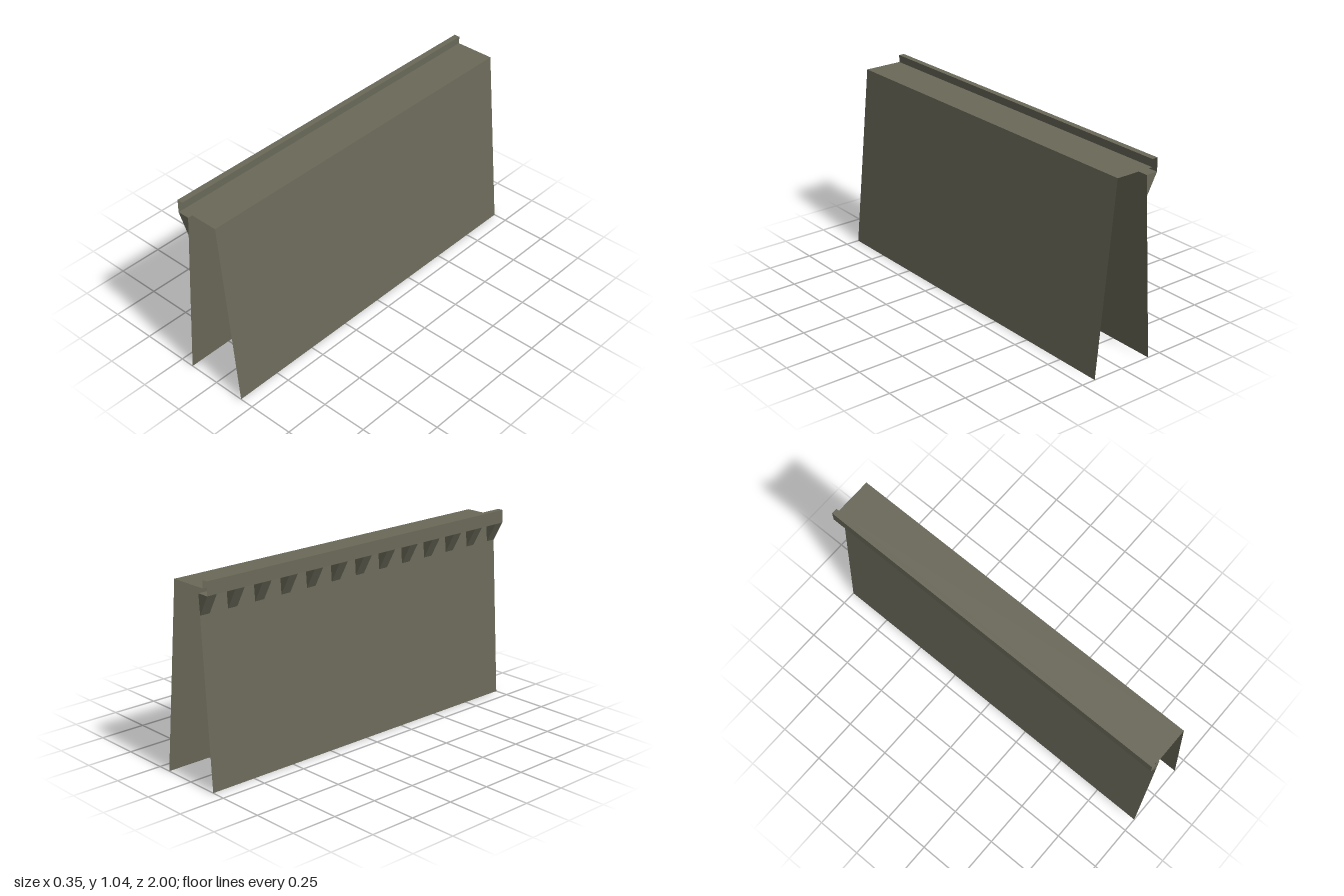
import * as THREE from 'three';

const LENGTH = 2;

// Flat strip running the full length between two profile points
function strip(name, [x0, y0], [x1, y1], material) {
  const h = LENGTH / 2;
  const geometry = new THREE.BufferGeometry();
  geometry.setAttribute('position', new THREE.Float32BufferAttribute(
    [x0, y0, h, x0, y0, -h, x1, y1, -h, x1, y1, h], 3));
  geometry.setIndex([0, 1, 2, 0, 2, 3]);
  geometry.computeVertexNormals();
  const mesh = new THREE.Mesh(geometry, material);
  mesh.name = name;
  return mesh;
}

export function createModel() {
  const group = new THREE.Group();
  group.name = 'barrier';
  const olive = new THREE.MeshStandardMaterial({ color: 0x6a6959, side: THREE.DoubleSide });
  olive.name = 'olive grey';

  // Folded sheet, open at the ends and underneath; profile runs from right foot to left foot
  const profile = [
    [0.174, 0], [0.072, 1], [-0.142, 1], [-0.142, 1.04],
    [-0.174, 1.04], [-0.174, 0.97], [-0.109, 0.97], [-0.174, 0],
  ];
  const names = ['rightWall', 'topDeck', 'curbInner', 'curbTop', 'curbOuter', 'curbLedge', 'leftWall'];
  names.forEach((name, i) => group.add(strip(name, profile[i], profile[i + 1], olive)));

  // Row of wedge brackets under the curb ledge
  const wedge = new THREE.Shape([
    new THREE.Vector2(-0.174, 0.97),
    new THREE.Vector2(-0.117, 0.865),
    new THREE.Vector2(-0.109, 0.97),
  ]);
  const width = 0.055, count = 13;
  const wedgeGeometry = new THREE.ExtrudeGeometry(wedge, { depth: width, bevelEnabled: false });
  const brackets = new THREE.Group();
  brackets.name = 'brackets';
  for (let i = 0; i < count; i++) {
    const bracket = new THREE.Mesh(wedgeGeometry, olive);
    bracket.name = 'bracket';
    bracket.position.z = -LENGTH / 2 + i * (LENGTH - width) / (count - 1);
    brackets.add(bracket);
  }
  group.add(brackets);
  return group;
}
